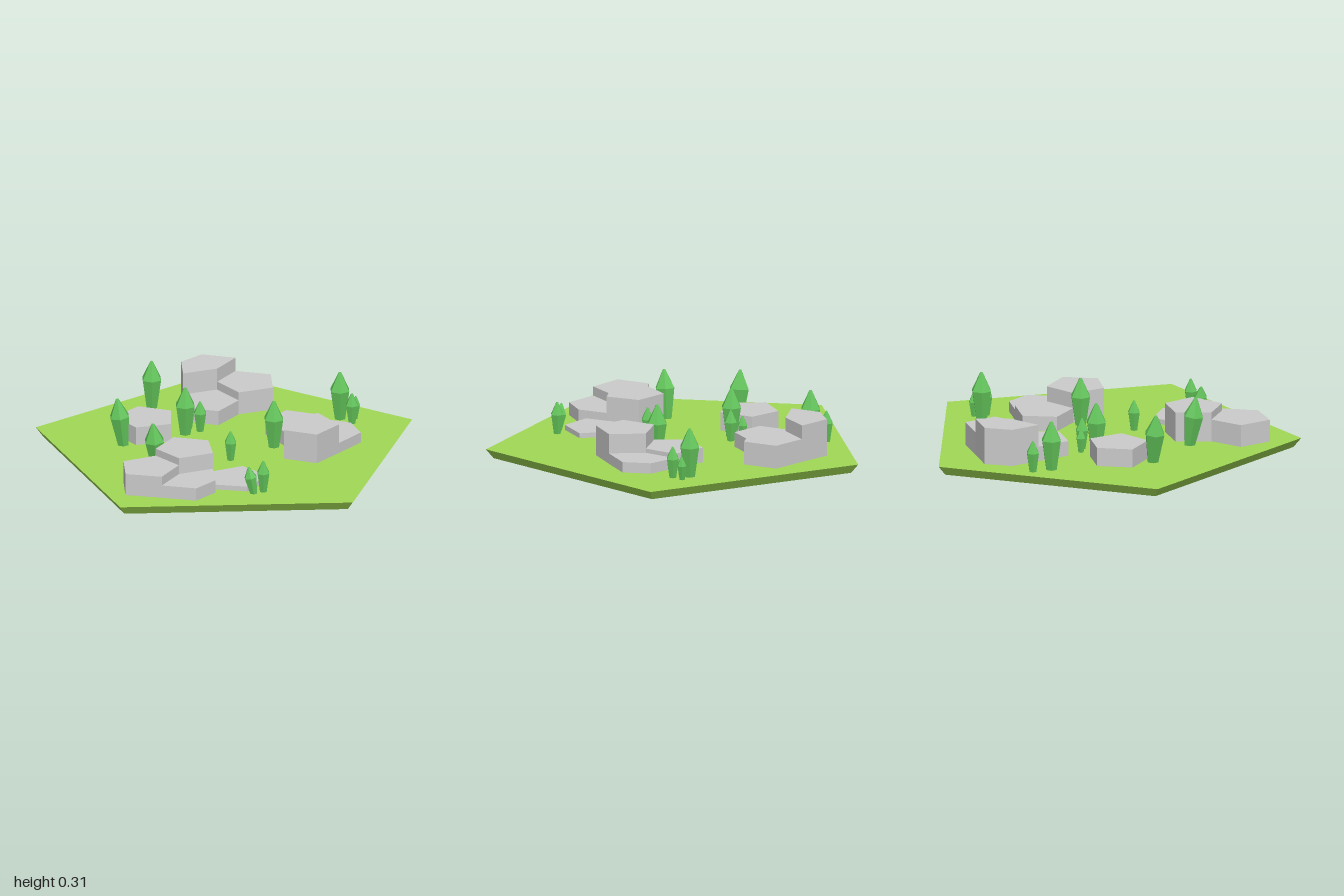
import * as THREE from 'three';

const GROUND = 0.05;

// Flat-topped rock column from an outline of [x, z] corners
function rock(name, outline, top, material) {
  const shape = new THREE.Shape(outline.map(([x, z]) => new THREE.Vector2(x, -z)));
  const sunk = 0.01;
  const geometry = new THREE.ExtrudeGeometry(shape, { depth: top - GROUND + sunk, bevelEnabled: false });
  geometry.rotateX(-Math.PI / 2);
  const mesh = new THREE.Mesh(geometry, material);
  mesh.position.y = GROUND - sunk;
  mesh.name = name;
  return mesh;
}

// Three columns sharing one inner corner; ring holds the 10 outer corners
// and each column takes four neighbouring ones from it
function rockCluster(name, centre, ring, heights, material) {
  const group = new THREE.Group();
  group.name = name;
  heights.forEach((top, i) => {
    const outline = [centre];
    for (let k = 0; k < 4; k++) outline.push(ring[(i * 3 + k) % 9]);
    group.add(rock('rockColumn', outline, top, material));
  });
  return group;
}

export function createModel() {
  const model = new THREE.Group();
  model.name = 'rockyMeadow';
  const grass = new THREE.MeshStandardMaterial({ color: 0xa0d855, flatShading: true });
  const stone = new THREE.MeshStandardMaterial({ color: 0xcccccc, flatShading: true });
  const leaf = new THREE.MeshStandardMaterial({ color: 0x62c45a, flatShading: true });

  // Five-sided ground slab, slightly narrower underneath
  const ground = new THREE.Mesh(new THREE.CylinderGeometry(1.0515, 1.01, GROUND, 5), grass);
  ground.name = 'ground';
  ground.rotation.y = Math.PI;
  ground.position.set(0, GROUND / 2, 0.1);
  model.add(ground);

  // Rock clusters
  model.add(rockCluster('backRocks', [-0.02, -0.51], [
    [0.085, -0.66], [-0.09, -0.72], [-0.205, -0.62], [-0.205, -0.45], [-0.205, -0.26],
    [-0.03, -0.2], [0.085, -0.35], [0.27, -0.41], [0.27, -0.6],
  ], [0.25, 0.13, 0.175], stone));
  model.add(rockCluster('leftRocks', [0.485, 0.065], [
    [0.51, -0.12], [0.33, -0.195], [0.21, -0.055], [0.3, 0.11], [0.29, 0.3],
    [0.46, 0.375], [0.585, 0.235], [0.71, 0.09], [0.665, -0.055],
  ], [0.13, 0.213, 0.107], stone));
  model.add(rockCluster('frontRocks', [-0.29, 0.665], [
    [-0.105, 0.6], [-0.12, 0.415], [-0.3, 0.36], [-0.405, 0.52], [-0.58, 0.59],
    [-0.58, 0.775], [-0.39, 0.825], [-0.21, 0.877], [-0.1, 0.765],
  ], [0.21, 0.17, 0.12], stone));

  // Single rocks
  model.add(rock('lowRock', [[0.06, 0.46], [0.19, 0.61], [0.07, 0.76], [-0.1, 0.72], [-0.11, 0.53]], 0.077, stone));
  model.add(rock('sideRock', [[-0.455, -0.245], [-0.285, -0.175], [-0.295, 0.02], [-0.485, 0.06], [-0.585, -0.105]], 0.15, stone));

  // Six-sided trees, widest above the middle
  const profile = [[0, 0], [0.55, 0], [1, 0.62], [0.13, 1], [0, 1]].map(([r, y]) => new THREE.Vector2(r, y));
  const treeGeometry = new THREE.LatheGeometry(profile, 6);
  // x, z, radius, height, lean towards x, lean towards z
  const trees = [
    [-0.37, -0.48, 0.056, 0.265, 0, 0],
    [-0.35, -0.585, 0.036, 0.17, 0, 0],
    [-0.57, 0.047, 0.056, 0.265, -0.12, 0],
    [-0.405, 0.405, 0.056, 0.265, -0.09, 0.1],
    [-0.214, -0.088, 0.056, 0.265, 0, 0],
    [-0.133, -0.125, 0.036, 0.17, 0, 0],
    [-0.187, -0.168, 0.027, 0.13, 0, 0],
    [0.245, 0.12, 0.056, 0.26, 0, 0],
    [0.005, 0.3, 0.034, 0.165, 0, 0],
    [0.085, 0.78, 0.036, 0.15, -0.18, -0.05],
    [0.153, 0.763, 0.036, 0.175, 0, 0],
    [0.618, -0.263, 0.056, 0.265, 0, 0],
    [0.678, -0.193, 0.036, 0.17, 0, 0],
    [0.7, -0.258, 0.027, 0.13, 0.05, 0],
  ];
  for (const [x, z, radius, height, leanX, leanZ] of trees) {
    const tree = new THREE.Mesh(treeGeometry, leaf);
    tree.name = 'tree';
    tree.scale.set(radius, height, radius);
    tree.rotation.set(leanZ, 0, -leanX);
    tree.position.set(x - leanX * height * 0.6, GROUND - 0.003, z - leanZ * height * 0.6);
    model.add(tree);
  }
  return model;
}
